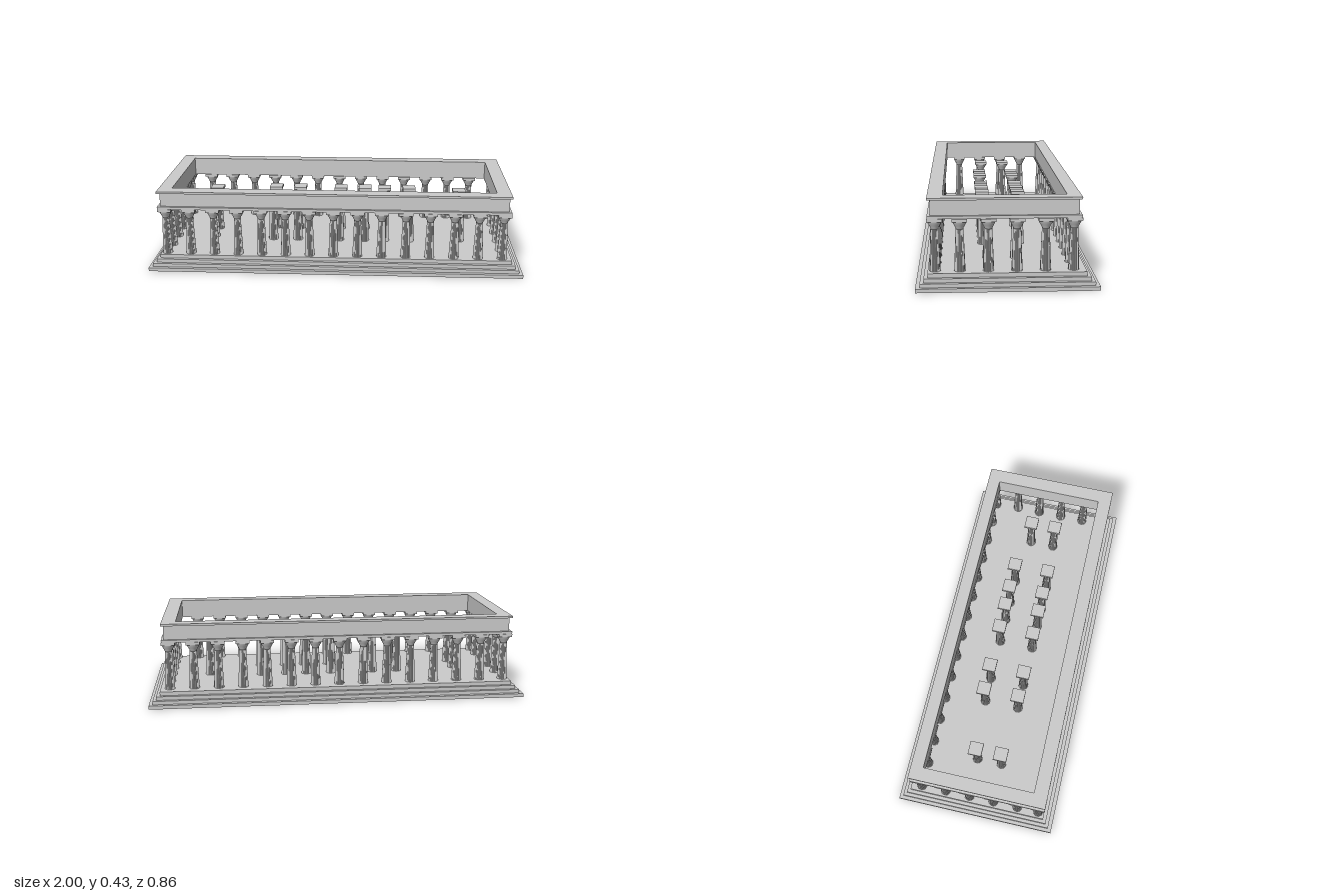
import * as THREE from 'three';

const material = new THREE.MeshStandardMaterial({ color: 0xcccccc });
const facetedMaterial = new THREE.MeshStandardMaterial({ color: 0xcccccc, flatShading: true });

function mesh(name, geometry, mat = material) {
  const m = new THREE.Mesh(geometry, mat);
  m.name = name;
  return m;
}

// Rectangular ring between two [x0, x1, z0, z1] rectangles, rising from y0 to y1
function frame(name, outer, inner, y0, y1) {
  const corners = ([x0, x1, z0, z1]) => [[x0, -z1], [x1, -z1], [x1, -z0], [x0, -z0]]
    .map(([x, y]) => new THREE.Vector2(x, y));
  const shape = new THREE.Shape(corners(outer));
  shape.holes.push(new THREE.Path(corners(inner).reverse()));
  const geometry = new THREE.ExtrudeGeometry(shape, { depth: y1 - y0, bevelEnabled: false });
  geometry.rotateX(-Math.PI / 2).translate(0, y0, 0);
  return mesh(name, geometry);
}

const FLOOR = 0.076;
const lathe = (points, sides) =>
  new THREE.LatheGeometry(points.map(([r, y]) => new THREE.Vector2(r, y)), sides);

// Tapered shaft: every second vertex is drawn inward to cut twenty flutes
function flutedShaft() {
  const geometry = lathe([[0.0268, FLOOR], [0.0235, 0.16], [0.0185, 0.282]], 40);
  const p = geometry.attributes.position;
  for (let i = 0; i < p.count; i++) {
    const flute = Math.floor(i / 3) % 2 ? 0.88 : 1;
    p.setX(i, p.getX(i) * flute);
    p.setZ(i, p.getZ(i) * flute);
  }
  return geometry;
}

const shaftGeometry = flutedShaft();
const echinusGeometry = lathe(
  [[0, 0.28], [0.0185, 0.28], [0.0195, 0.286], [0.0265, 0.299], [0.0335, 0.312], [0.035, 0.319]], 24);
const abacusGeometry = new THREE.BoxGeometry(0.072, 0.015, 0.072).translate(0, 0.3255, 0);

function column(name, x, z) {
  const g = new THREE.Group();
  g.name = name;
  g.add(
    mesh('flutedShaft', shaftGeometry, facetedMaterial),
    mesh('echinus', echinusGeometry),
    mesh('abacus', abacusGeometry),
  );
  g.position.set(x, 0, z);
  return g;
}

export function createModel() {
  const model = new THREE.Group();
  model.name = 'temple';

  // Stepped platform: three hollow steps under a floor slab
  const steps = [[1, 0.432], [0.981, 0.412], [0.963, 0.394], [0.945, 0.376]];
  const levels = [0, 0.019, 0.037, 0.056, FLOOR];
  const rect = ([x, z]) => [-x, x, -z, z];
  for (let i = 0; i < 3; i++) {
    model.add(frame('step', rect(steps[i]), rect(steps[i + 1]), levels[i], levels[i + 1]));
  }
  const slab = mesh('floor', new THREE.BoxGeometry(1.89, FLOOR - levels[3], 0.752));
  slab.position.y = (FLOOR + levels[3]) / 2;
  model.add(slab);

  // Outer colonnade: fifteen columns per long side, four more on each end
  const front = 0.341, back = -0.316;
  for (let i = 0; i < 15; i++) {
    const x = -0.911 + i * 0.129;
    model.add(column('frontColumn', x, front), column('backColumn', x, back));
  }
  for (let i = 1; i < 5; i++) {
    const z = back + i * 0.135;
    model.add(column('leftColumn', 0.9, z), column('rightColumn', -0.911, z));
  }

  // Inner columns in pairs
  for (const x of [-0.361, -0.222, 0.013, 0.152, 0.265, 0.404]) {
    for (const z of [-0.088, 0.103]) model.add(column('innerColumn', x, z));
  }
  for (const x of [-0.698, 0.687]) {
    for (const z of [-0.052, 0.085]) model.add(column('porchColumn', x, z));
  }

  // Entablature, open to the sky
  const opening = [-0.876, 0.854, -0.284, 0.303];
  const wide = [-0.947, 0.929, -0.35, 0.376];
  model.add(
    frame('architrave', wide, opening, 0.333, 0.347),
    frame('frieze', [-0.932, 0.916, -0.337, 0.361], opening, 0.347, 0.421),
    frame('cornice', wide, opening, 0.421, 0.432),
  );
  return model;
}
